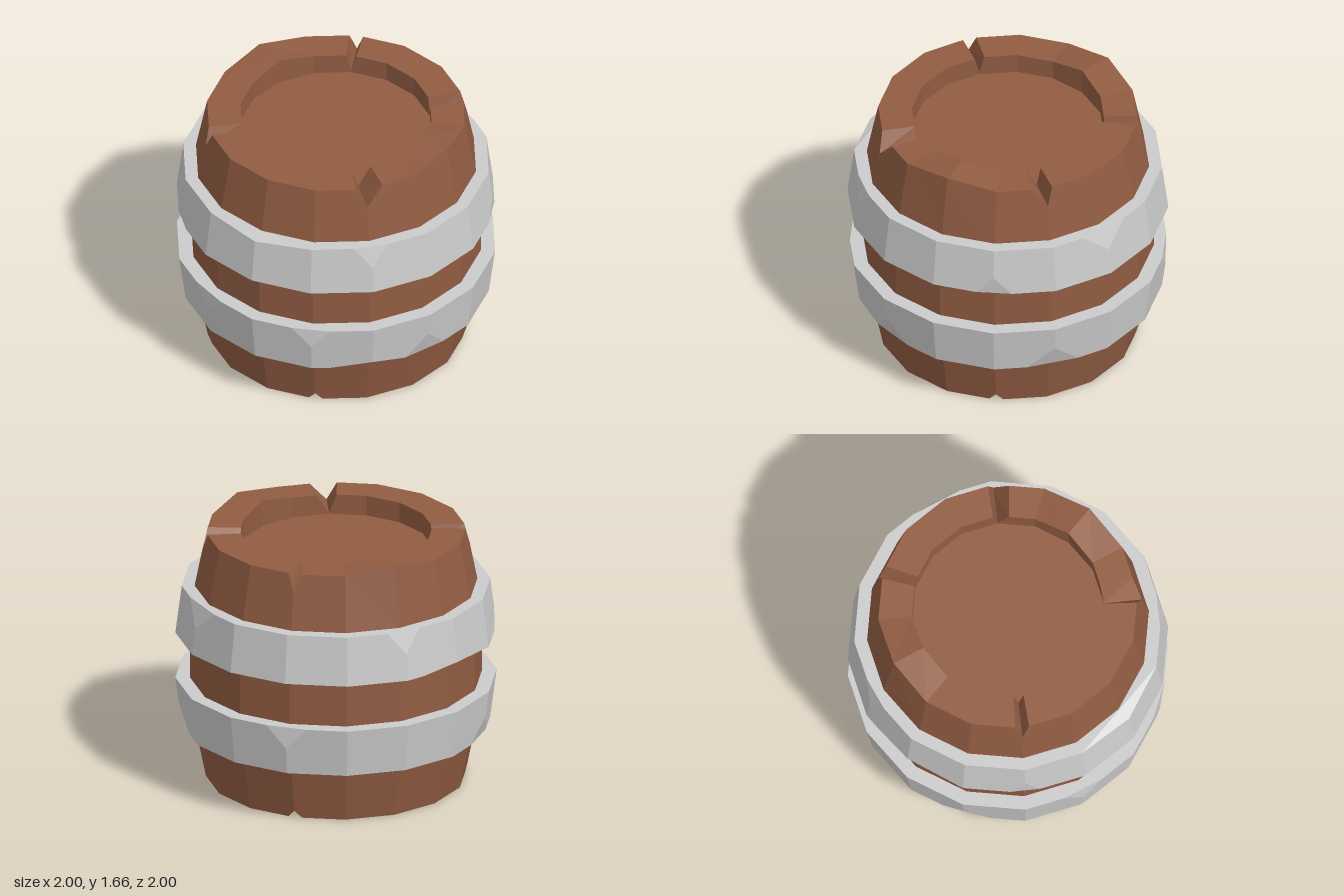
import * as THREE from 'three';

const SIDES = 16;
const wood = new THREE.MeshStandardMaterial({ color: 0x915c42, flatShading: true });
const metal = new THREE.MeshStandardMaterial({ color: 0xcccccc, flatShading: true });

// Point of a ring at corner i
const corner = (i, [r, y]) => {
  const a = (i / SIDES) * Math.PI * 2;
  return new THREE.Vector3(r * Math.cos(a), y, r * Math.sin(a));
};

// Sweeps a profile round the axis in flat facets. profileAt(i) gives the [r, y] points
// of corner i; each cut adds a column either side of its corner and reshapes that corner.
function facetedRing(name, material, profileAt, cuts, closed) {
  const column = (u) => {
    const i = Math.floor(u);
    const a = profileAt((i + SIDES) % SIDES).map((p) => corner(i, p));
    const b = profileAt((i + 1 + SIDES) % SIDES).map((p) => corner(i + 1, p));
    return a.map((p, k) => p.lerp(b[k], u - i));
  };
  const stops = new Set(Array.from({ length: SIDES }, (_, i) => i));
  for (const { at, before, after } of cuts) {
    if (before < 1) stops.add((at - before + SIDES) % SIDES);
    if (after < 1) stops.add((at + after) % SIDES);
  }
  const columns = [...stops].sort((a, b) => a - b).map((u) => {
    const points = column(u);
    for (const cut of cuts) {
      if (cut.at === u) cut.shape(points, column(u - cut.before), column(u + cut.after));
    }
    return points;
  });

  const positions = [];
  const triangle = (a, b, c) => {
    if (new THREE.Triangle(a, b, c).getArea() < 1e-6) return;
    for (const p of [a, b, c]) positions.push(p.x, p.y, p.z);
  };
  columns.forEach((col, j) => {
    const next = columns[(j + 1) % columns.length];
    const count = col.length;
    for (let k = 0; k < (closed ? count : count - 1); k++) {
      const m = (k + 1) % count;
      triangle(col[k], next[k], col[m]);
      triangle(next[k], next[m], col[m]);
    }
  });
  const geometry = new THREE.BufferGeometry();
  geometry.setAttribute('position', new THREE.Float32BufferAttribute(positions, 3));
  geometry.computeVertexNormals();
  const mesh = new THREE.Mesh(geometry, material);
  mesh.name = name;
  return mesh;
}

// V-shaped groove across the rim: the outer point slides down the wall, the inner one drops
const topNotch = (at, before, after, depth) => ({
  at, before, after,
  shape: (p) => {
    p[3].lerp(p[4], depth / 0.35);
    p[2].y -= depth;
  },
});
const bottomNotch = (at, width, depth) => ({
  at, before: width, after: width,
  shape: (p) => {
    p[8].lerp(p[7], depth / 0.35);
    p[9].y += depth;
  },
});

// Triangular chip knocked off a band corner, at its top or bottom edge
const chip = (end) => ([at, width, depth]) => ({
  at, before: width, after: width,
  shape: (p, prev, next) => {
    const [edge, face, far] = end === 'top' ? [1, 2, 3] : [4, 3, 2];
    p[face].lerp(p[far], depth / 0.31);
    p[edge].copy(prev[edge]).lerp(next[edge], 0.5);
  },
});

function band(name, [yTop, rTop], [yBottom, rBottom], topChips, bottomChips) {
  const profile = [
    [0.86, yTop], [rTop, yTop], [rTop, yTop],
    [rBottom, yBottom], [rBottom, yBottom], [0.86, yBottom],
  ];
  const cuts = [...topChips.map(chip('top')), ...bottomChips.map(chip('bottom'))];
  return facetedRing(name, metal, () => profile, cuts, true);
}

export function createModel() {
  const group = new THREE.Group();
  group.name = 'barrel';

  // Wooden body with recessed lids; two corners of the upper rim stand slightly proud
  const bodyProfile = (i) => {
    const rim = i === 0 || i === 9 ? 1.66 : 1.62;
    return [
      [0, 1.49], [0.6, 1.49], [0.6, rim], [0.81, rim], [0.88, 1.27], [0.91, 0.96],
      [0.91, 0.66], [0.88, 0.35], [0.81, 0], [0.6, 0], [0.6, 0.13], [0, 0.13],
    ];
  };
  group.add(facetedRing('body', wood, bodyProfile, [
    topNotch(2, 0.35, 0.2, 0.125),
    topNotch(6, 0.3, 0.3, 0.11),
    topNotch(11, 0.35, 0.4, 0.12),
    topNotch(14, 0.12, 0.3, 0.12),
    ...[3, 6, 11, 15].map((at) => bottomNotch(at, 0.14, 0.05)),
  ], false));

  // Metal bands: [corner, width, depth] of each chip
  group.add(band('upperBand', [1.27, 0.96], [0.96, 1],
    [[2, 0.3, 0.14], [4, 1, 0.03], [9, 0.3, 0.14], [13, 0.45, 0.14]],
    [[6, 0.25, 0.13], [8, 1, 0.03], [15, 0.3, 0.12]]));
  group.add(band('lowerBand', [0.66, 1], [0.35, 0.96],
    [[3, 0.33, 0.13], [5, 0.33, 0.13], [11, 0.35, 0.14]],
    [[1, 0.4, 0.15], [2, 1, 0.04], [7, 0.4, 0.14], [14, 0.45, 0.15]]));

  return group;
}
